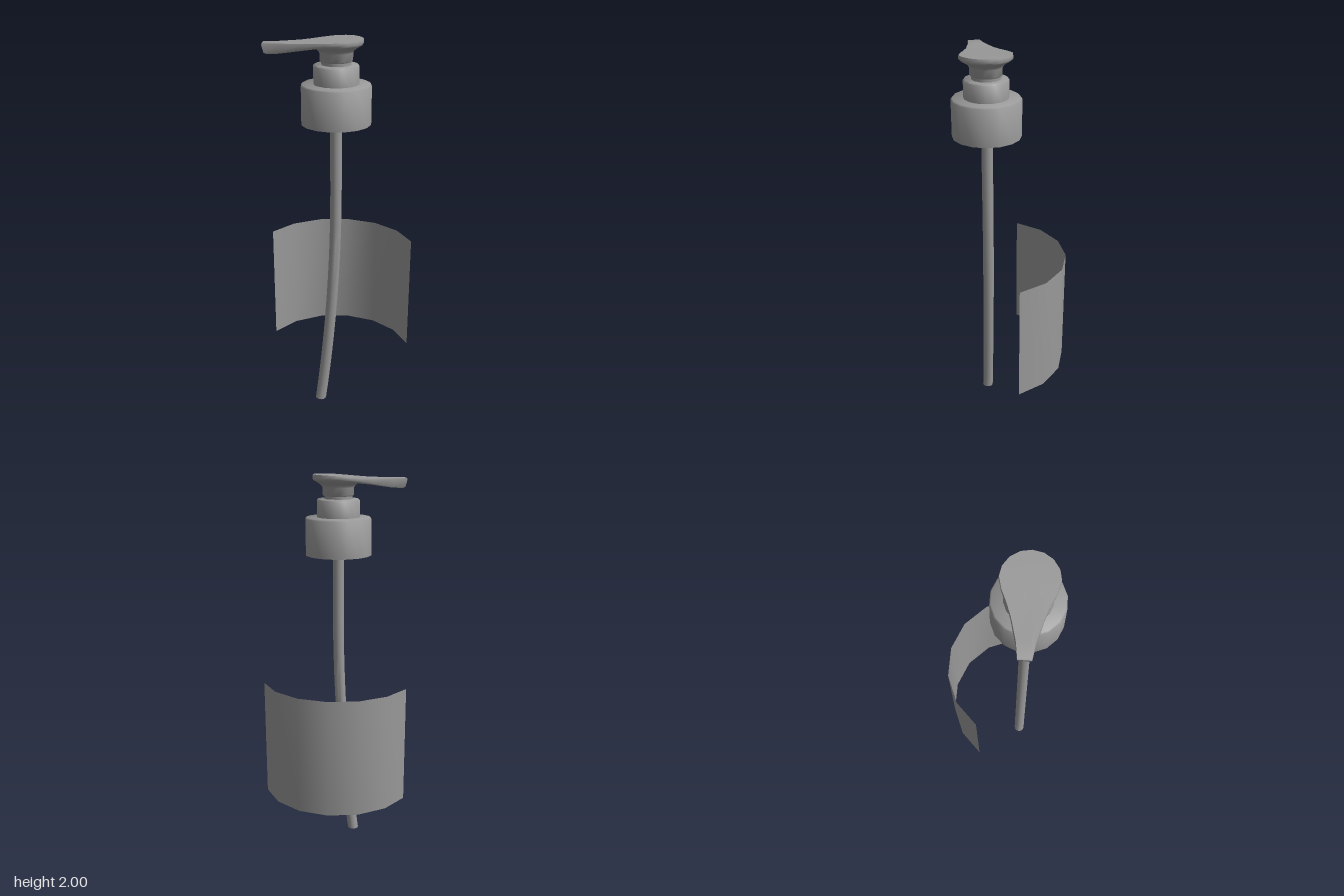
import * as THREE from 'three';
import { toCreasedNormals } from 'three/addons/utils/BufferGeometryUtils.js';

const grey = new THREE.MeshStandardMaterial({ color: 0x999999 });
const greyDouble = new THREE.MeshStandardMaterial({ color: 0x999999, side: THREE.DoubleSide });

function part(name, geometry, material = grey) {
  const mesh = new THREE.Mesh(geometry, material);
  mesh.name = name;
  return mesh;
}

// 16-sided turned part from [radius, height] pairs
function turned(name, profile) {
  const points = profile.map(([r, y]) => new THREE.Vector2(r, y));
  const lathe = new THREE.LatheGeometry(points, 16, Math.PI / 16);
  return part(name, toCreasedNormals(lathe, 1.2), greyDouble);
}

// Pump head: rings stacked from the round stem to a teardrop outline
function headGeometry() {
  const half = [[0.349, 0.03], [0.276, 0.041], [0.173, 0.068], [0.108, 0.092], [0.057, 0.115]];
  for (let i = 4; i <= 8; i++) {
    const a = i * Math.PI / 8;
    half.push([0.13 * Math.cos(a), 0.13 * Math.sin(a)]);
  }
  const mirrored = half.slice(0, -1).reverse().map(([u, v]) => [u, -v]);
  const outline = [...half, ...mirrored];
  const n = outline.length;

  const ramp = THREE.MathUtils.smoothstep;
  const top = (u) => 2 - 0.018 * ramp(u, -0.13, 0.24);
  const bottom = (u) => 1.972 - 0.04 * ramp(u, 0, 0.33);
  const circle = (r, y) => outline.map(([u, v]) => {
    const a = Math.atan2(v, u);
    return [r * Math.cos(a), y, r * Math.sin(a)];
  });
  const tear = (scale, height, slant = 0) => outline.map(([u, v]) =>
    [u * scale - slant * ramp(u, 0.28, 0.349), height(u * scale), v * scale]);

  const rings = [
    circle(0.074, 1.893), circle(0.08, 1.9), circle(0.08, 1.935),
    circle(0.088, 1.947), circle(0.104, 1.959),
    tear(0.97, bottom, 0.012),
    tear(1, (u) => bottom(u) + 0.007, 0.01),
    tear(1, (u) => top(u) - 0.006),
    tear(0.985, top),
    tear(0.75, top),
    tear(0.5, top),
    tear(0.25, top),
    tear(0, top),
  ];
  const positions = rings.flat(2);
  const index = [];
  for (let j = 0; j < rings.length - 1; j++) {
    for (let i = 0; i < n; i++) {
      const a = j * n + i, b = j * n + (i + 1) % n;
      index.push(a, a + n, b);
      if (j < rings.length - 2) index.push(b, a + n, b + n);
    }
  }
  const geometry = new THREE.BufferGeometry();
  geometry.setAttribute('position', new THREE.Float32BufferAttribute(positions, 3));
  geometry.setIndex(index);
  return toCreasedNormals(geometry, 0.9);
}

// Dip tube: a cylinder bent towards the nozzle side, ends kept level
function dipTubeGeometry() {
  const height = 1.65;
  const geometry = new THREE.CylinderGeometry(0.029, 0.029, height, 12, 16);
  geometry.translate(0, height / 2, 0);
  const pos = geometry.attributes.position;
  for (let i = 0; i < pos.count; i++) {
    const bend = 0.083 * Math.pow(Math.max(0, 1 - pos.getY(i) / 1.22), 1.9);
    pos.setX(i, pos.getX(i) + bend);
  }
  return toCreasedNormals(geometry, 0.7);
}

// Label: a thin sheet following a curved run of flat panels
function labelGeometry() {
  const path = [[-0.315, 0.145], [-0.315, -0.015], [-0.253, -0.163], [-0.14, -0.275],
    [0.007, -0.337], [0.167, -0.337], [0.315, -0.275]];
  const geometry = new THREE.PlaneGeometry(1, 0.63, path.length - 1, 1);
  const pos = geometry.attributes.position;
  for (let i = 0; i < pos.count; i++) {
    const [x, z] = path[i % path.length];
    pos.setXYZ(i, x, pos.getY(i) + 0.61, z);
  }
  geometry.computeVertexNormals();
  return geometry;
}

export function createModel() {
  const model = new THREE.Group();
  model.name = 'pumpDispenser';

  // Pump assembly, local +x points along the nozzle
  const pump = new THREE.Group();
  pump.name = 'pump';
  pump.position.set(0.087, 0, 0.066);
  pump.rotation.y = -Math.PI * 0.75;

  // Hollow screw cap
  pump.add(turned('cap', [
    [0, 1.75], [0.145, 1.75], [0.145, 1.594], [0.172, 1.594],
    [0.172, 1.78], [0.165, 1.788], [0, 1.788],
  ]));
  // Collar with softened top edge
  pump.add(turned('collar', [
    [0.111, 1.78], [0.111, 1.873], [0.105, 1.879], [0, 1.879],
  ]));
  // Plunger between collar and head
  pump.add(turned('plunger', [[0.072, 1.872], [0.072, 1.905]]));
  // Plug holding the tube inside the cap
  pump.add(turned('tubeHolder', [[0, 1.64], [0.055, 1.64], [0.055, 1.752]]));
  pump.add(part('pumpHead', headGeometry()));
  pump.add(part('dipTube', dipTubeGeometry()));
  model.add(pump);

  model.add(part('label', labelGeometry(), greyDouble));
  return model;
}
